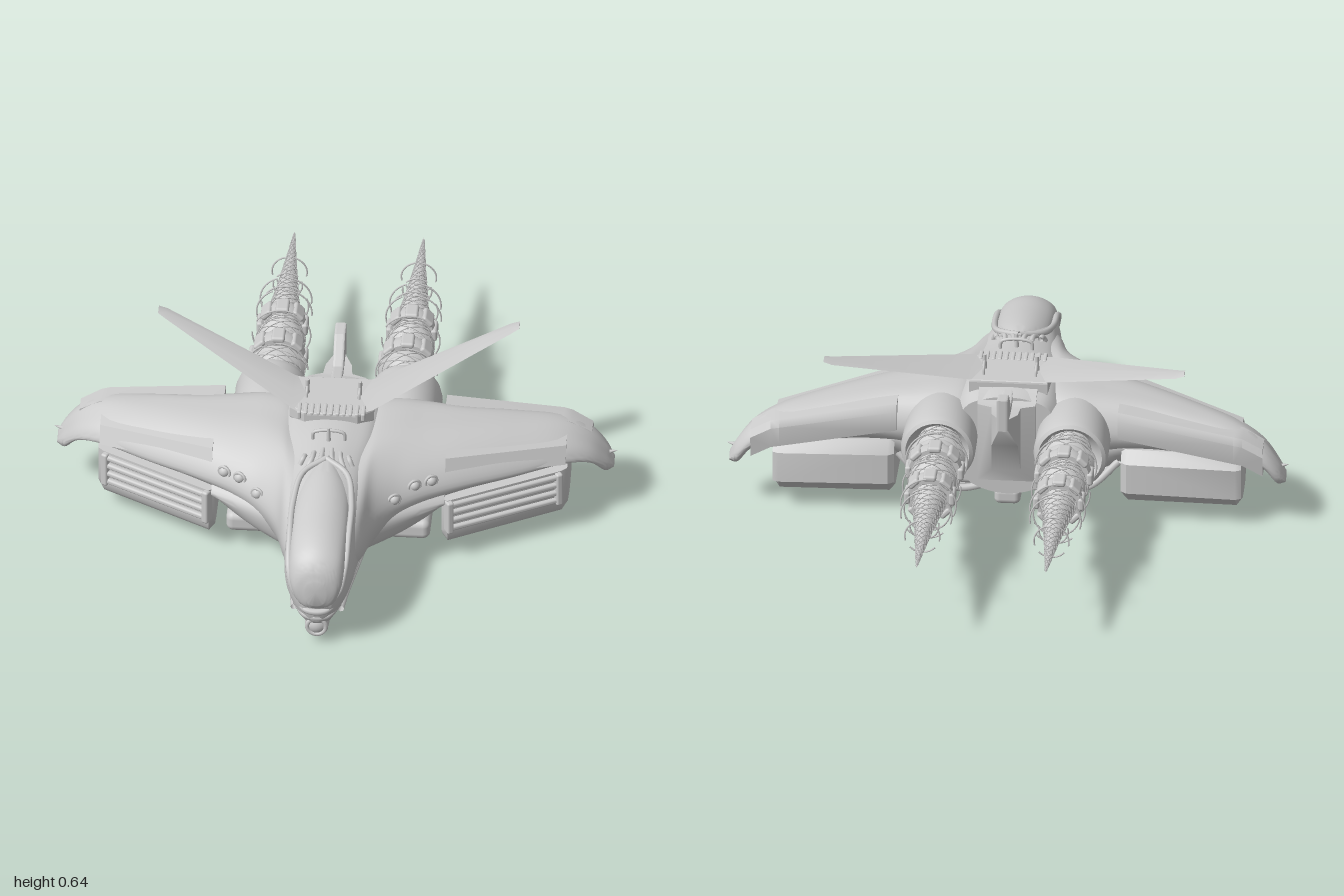
import * as THREE from 'three';
import { toCreasedNormals } from 'three/addons/utils/BufferGeometryUtils.js';
import { RoundedBoxGeometry } from 'three/addons/geometries/RoundedBoxGeometry.js';

const grey = new THREE.MeshStandardMaterial({ color: 0xcccccc, side: THREE.DoubleSide });
const V = (x, y, z) => new THREE.Vector3(x, y, z);

// Skin through cross-sections; smooth = [points per ring, points along], or null for straight edges
function loft(sections, smooth, crease = 0.7) {
  let rings = sections;
  if (smooth) {
    const [n, m] = smooth;
    rings = rings.map(r => new THREE.CatmullRomCurve3(r, true).getPoints(n).slice(0, n));
    const rails = rings[0].map((_, i) => new THREE.CatmullRomCurve3(rings.map(r => r[i])).getPoints(m));
    rings = rails[0].map((_, j) => rails.map(r => r[j]));
  }
  const n = rings[0].length, last = rings.length - 1, pts = rings.flat(), idx = [];
  for (let j = 0; j < last; j++) for (let i = 0; i < n; i++) {
    const a = j * n + i, b = j * n + (i + 1) % n;
    idx.push(a, b, a + n, b, b + n, a + n);
  }
  [0, last].forEach(j => {
    const c = pts.length;
    pts.push(rings[j].reduce((s, p) => s.add(p), V(0, 0, 0)).divideScalar(n));
    for (let i = 0; i < n; i++) {
      const a = j * n + i, b = j * n + (i + 1) % n;
      idx.push(...(j ? [a, b, c] : [b, a, c]));
    }
  });
  // Keep faces pointing outwards whichever way the sections run
  const mid = pts.reduce((s, p) => s.add(p), V(0, 0, 0)).divideScalar(pts.length);
  const at = k => pts[idx[k]].clone().sub(mid);
  let volume = 0;
  for (let k = 0; k < idx.length; k += 3) volume += at(k).dot(at(k + 1).cross(at(k + 2)));
  if (volume < 0) idx.reverse();
  const g = new THREE.BufferGeometry().setFromPoints(pts);
  g.setIndex(idx);
  return toCreasedNormals(g, crease);
}

const tube = (pts, r, n = 32, sides = 8) =>
  new THREE.TubeGeometry(new THREE.CatmullRomCurve3(pts.map(p => V(...p))), n, r, sides);

// Lathe running backwards along -z; profile is [radius, distance]
const latheBack = (profile, sides = 40) => toCreasedNormals(new THREE.LatheGeometry(
  profile.map(p => new THREE.Vector2(...p)), sides).rotateX(-Math.PI / 2), 0.6);

// Fuselage ring from half profile: top, shoulder, side, lower, bottom
const hullRing = ([z, top, sx, sy, mx, my, lx, ly, bot]) => {
  const half = [[sx * 0.55, top - (top - sy) * 0.25], [sx, sy], [mx, my], [lx, ly]];
  return [V(0, top, z), ...half.map(p => V(p[0], p[1], z)), V(0, bot, z),
    ...half.reverse().map(p => V(-p[0], p[1], z))];
};

export function createModel() {
  const model = new THREE.Group();
  const add = (name, geo, x = 0, y = 0, z = 0, parent = model) => {
    const m = new THREE.Mesh(geo, grey);
    m.name = name;
    m.position.set(x, y, z);
    parent.add(m);
    return m;
  };

  // Fuselage with narrow muzzle
  add('fuselage', loft([
    [0.965, 0.30, 0.05, 0.27, 0.055, 0.19, 0.03, 0.12, 0.10],
    [0.94, 0.33, 0.08, 0.29, 0.085, 0.19, 0.04, 0.09, 0.06],
    [0.89, 0.375, 0.09, 0.33, 0.108, 0.20, 0.05, 0.07, 0.015],
    [0.75, 0.415, 0.105, 0.36, 0.125, 0.20, 0.07, 0.06, 0.003],
    [0.60, 0.44, 0.12, 0.39, 0.15, 0.22, 0.09, 0.07, 0.018],
    [0.45, 0.455, 0.13, 0.41, 0.18, 0.25, 0.13, 0.10, 0.055],
    [0.30, 0.47, 0.15, 0.43, 0.22, 0.27, 0.15, 0.12, 0.07],
    [0.10, 0.475, 0.15, 0.44, 0.22, 0.28, 0.15, 0.12, 0.07],
    [0.02, 0.46, 0.14, 0.42, 0.19, 0.30, 0.14, 0.14, 0.09]].map(hullRing), [48, 50], 1));
  // Head dome overhanging the muzzle
  add('canopy', loft([
    [1.0, 0.285, 0.025, 0.275, 0.035, 0.24, 0.025, 0.20, 0.19],
    [0.985, 0.33, 0.06, 0.30, 0.075, 0.25, 0.05, 0.185, 0.17],
    [0.95, 0.372, 0.08, 0.335, 0.095, 0.27, 0.065, 0.19, 0.17],
    [0.88, 0.406, 0.088, 0.365, 0.10, 0.30, 0.07, 0.21, 0.18],
    [0.75, 0.432, 0.09, 0.39, 0.10, 0.34, 0.07, 0.25, 0.22],
    [0.60, 0.452, 0.08, 0.41, 0.09, 0.36, 0.07, 0.28, 0.25],
    [0.50, 0.455, 0.03, 0.44, 0.04, 0.40, 0.03, 0.35, 0.33]].map(hullRing), [40, 36], 1));
  add('chinSensor', new THREE.SphereGeometry(0.042, 24, 16), 0, 0.07, 0.92);
  add('chinRing', new THREE.TorusGeometry(0.032, 0.008, 8, 24), 0, 0.07, 0.95);
  [0.115, 0.145].forEach((y, i) => add('muzzleRidge', tube(
    [[-0.075, y + 0.03, 0.91], [-0.035, y, 0.95 + i * 0.01], [0.035, y, 0.95 + i * 0.01], [0.075, y + 0.03, 0.91]], 0.012)));

  // Dorsal plate, ribs, fin and small masts
  const plate = new THREE.Shape([[-0.13, -0.08], [0.13, -0.08], [0.14, -0.25], [0.09, -0.29], [-0.09, -0.29], [-0.14, -0.25]]
    .map(p => new THREE.Vector2(...p)));
  add('dorsalPlate', new THREE.ExtrudeGeometry(plate, { depth: 0.035, bevelSize: 0.005, bevelThickness: 0.008, bevelSegments: 2 })
    .rotateX(-Math.PI / 2), 0, 0.45, 0);
  for (let i = -5; i <= 5; i++) add('dorsalRib', new RoundedBoxGeometry(0.014, 0.03, 0.06, 2, 0.005), i * 0.022, 0.482, 0.265);
  const fin = new THREE.Shape([[-0.1, 0.4], [-0.1, 0.47], [0.04, 0.452], [0.115, 0.535], [0.17, 0.54], [0.17, 0.43], [0.08, 0.4]]
    .map(p => new THREE.Vector2(...p)));
  add('tailFin', new THREE.ExtrudeGeometry(fin, { depth: 0.022, bevelSize: 0.004, bevelThickness: 0.008 })
    .rotateY(Math.PI / 2), -0.011, 0, 0);
  add('tailBoom', loft([[0.08, 0.10, 0.47, 0.12], [0.0, 0.1, 0.44, 0.15], [-0.02, 0.05, 0.44, 0.2], [-0.07, 0.045, 0.44, 0.32], [-0.13, 0.015, 0.45, 0.41]]
    .map(([z, w, t, b]) => [V(w, t, z), V(w, b, z), V(-w, b, z), V(-w, t, z)])));
  add('dorsalHandle', tube([[-0.055, 0.45, 0.39], [-0.05, 0.485, 0.39], [0.05, 0.485, 0.39], [0.055, 0.45, 0.39]], 0.006));
  add('antenna', new THREE.CylinderGeometry(0.005, 0.009, 0.06, 10), 0, 0.48, 0.4);
  // Belly keel
  add('bellyKeel', new RoundedBoxGeometry(0.09, 0.06, 0.36, 3, 0.02), 0, 0.075, 0.2);
  add('bellyCrossbar', new RoundedBoxGeometry(0.36, 0.05, 0.09, 3, 0.02), 0, 0.115, 0.12);

  for (const s of [1, -1]) {
    const side = new THREE.Group();
    side.name = s > 0 ? 'leftSide' : 'rightSide';
    model.add(side);
    const put = (name, geo, x = 0, y = 0, z = 0) => add(name, geo, x * s, y, z, side);
    const path = pts => pts.map(([x, y, z]) => [x * s, y, z]);

    // Main wing: x, leading z, leading y, trailing z, trailing y, top, bottom
    put('wing', loft([
      [0.07, 0.88, 0.28, 0.02, 0.30, 0.42, 0.14],
      [0.125, 0.78, 0.26, 0.02, 0.31, 0.43, 0.14],
      [0.165, 0.64, 0.26, 0.02, 0.32, 0.44, 0.14],
      [0.23, 0.545, 0.27, 0.02, 0.32, 0.44, 0.16],
      [0.32, 0.475, 0.28, 0.03, 0.31, 0.43, 0.20],
      [0.45, 0.40, 0.28, 0.04, 0.30, 0.415, 0.23],
      [0.62, 0.31, 0.275, 0.02, 0.30, 0.39, 0.24],
      [0.80, 0.21, 0.27, -0.005, 0.29, 0.352, 0.245],
      [0.88, 0.16, 0.245, -0.005, 0.25, 0.305, 0.215],
      [0.93, 0.12, 0.20, 0.005, 0.20, 0.245, 0.16],
      [0.955, 0.09, 0.18, 0.025, 0.18, 0.20, 0.16]].map(([x, zl, yl, zt, yt, top, bot]) => {
      const p = (t, y) => V(x * s, y, zl + (zt - zl) * t);
      return [p(0, yl), p(0.1, yl + (top - yl) * 0.5), p(0.36, top - 0.012), p(0.62, top), p(0.88, top - 0.015),
        p(1, yt), p(0.85, bot + 0.01), p(0.5, bot), p(0.15, bot + 0.01)];
    }), [45, 50]));
    put('wingRearSpar', loft([[0.38, 0.11, 0.02, 0.41], [0.78, 0.08, -0.018, 0.352], [0.81, 0.08, -0.015, 0.345], [0.88, 0.075, -0.01, 0.305]]
      .map(([x, zf, zb, y]) => [V(x * s, y + 0.005, zf), V(x * s, y, zb + 0.015), V(x * s, y - 0.025, zb),
        V(x * s, y - 0.1, zb + 0.01), V(x * s, y - 0.1, zf)])));
    put('leadingSlat', loft([[0.40, 0.36, 0.385], [0.80, 0.175, 0.33]]
      .map(([x, z, y]) => [V(x * s, y + 0.012, z - 0.06), V(x * s, y, z + 0.015), V(x * s, y - 0.06, z + 0.045), V(x * s, y - 0.06, z - 0.06)])));
    put('tipClaw', new THREE.ConeGeometry(0.012, 0.05, 12).rotateZ(-s * 1.3), 0.945, 0.22, 0.06);
    // Leading edge lights
    [[0.235, 0.31, 0.52], [0.30, 0.33, 0.46], [0.355, 0.33, 0.428]].forEach(p => {
      put('lightLens', new THREE.SphereGeometry(0.02, 16, 12), ...p);
      put('lightRim', new THREE.TorusGeometry(0.022, 0.005, 8, 20).rotateY(s * 0.5), p[0], p[1], p[2] + 0.007);
    });

    // Underwing pod with rounded belly and louvred intake
    put('underwingPod', loft([[0.39, 0.42, 0.03, 0.07], [0.41, 0.435, 0.015, 0.052], [0.785, 0.23, 0.0, 0.055], [0.805, 0.21, 0.01, 0.08]]
      .map(([x, zf, zb, b]) => [V(x * s, 0.25, zf), V(x * s, 0.12, zf), V(x * s, b + 0.035, zf - 0.008), V(x * s, b + 0.012, zf - 0.03),
        V(x * s, b, zf - 0.09), V(x * s, b, zb + 0.07), V(x * s, 0.11, zb), V(x * s, 0.22, zb), V(x * s, 0.26, zb + 0.04)]), null, 0.6));
    for (let i = 0; i < 4; i++) {
      put('intakeSlat', new RoundedBoxGeometry(0.40, 0.02, 0.03, 3, 0.008).rotateY(s * 0.5), 0.595, 0.135 + i * 0.032, 0.332);
    }
    [0.415, 0.775].forEach(x => put('intakeFrame', new RoundedBoxGeometry(0.025, 0.13, 0.04, 3, 0.008)
      .rotateY(s * 0.5), x, 0.183, 0.332 - (x - 0.595) * 0.545));
    // Rounded fairing between pod and hull
    put('podFairing', loft([[0.12, 0.60, 0.10], [0.24, 0.535, 0.13], [0.33, 0.485, 0.165], [0.40, 0.445, 0.2]]
      .map(([x, z, b]) => [V(x * s, 0.29, z - 0.08), V(x * s, 0.24, z), V(x * s, b + 0.03, z - 0.02), V(x * s, b, z - 0.08),
        V(x * s, b, 0.1), V(x * s, 0.27, 0.06)]), [36, 14], 1));

    // Lift thruster in its housing, belly bulges and pipes
    put('thrusterHousing', new RoundedBoxGeometry(0.21, 0.075, 0.25, 4, 0.025), 0.245, 0.115, 0.31);
    put('liftThruster', toCreasedNormals(new THREE.LatheGeometry([[0.001, 0.074], [0.035, 0.074], [0.05, 0.068], [0.07, 0.064],
      [0.088, 0.07], [0.092, 0.09]].map(p => new THREE.Vector2(...p)), 36), 0.6), 0.245, 0, 0.32);
    put('thrusterRing', new THREE.TorusGeometry(0.055, 0.01, 8, 32).rotateX(Math.PI / 2), 0.245, 0.07, 0.32);
    put('bellyBulge', new THREE.SphereGeometry(0.05, 20, 14), 0.1, 0.11, 0.22);
    put('bellyBulge', new THREE.SphereGeometry(0.04, 20, 14), 0.085, 0.1, 0.36);
    [0, 0.04].forEach(d => put('bellyPipe', tube(path(
      [[0.06, 0.1, 0.12 - d], [0.16, 0.085, 0.1 - d], [0.28, 0.11, 0.1 - d], [0.38, 0.2, 0.12 - d]]), 0.013)));

    // Canopy rim and cheek folds
    put('canopyRim', tube(path([[0.03, 0.175, 0.975], [0.078, 0.23, 0.965], [0.096, 0.30, 0.935], [0.101, 0.365, 0.83],
      [0.1, 0.40, 0.68], [0.075, 0.435, 0.56], [0, 0.455, 0.5]]), 0.011));
    [0, 1].forEach(i => put('cheekFold', tube(path([[0.08, 0.17 - i * 0.05, 0.91], [0.1 - i * 0.01, 0.17 - i * 0.05, 0.82],
      [0.118 - i * 0.005, 0.17 - i * 0.035, 0.7], [0.14, 0.18 - i * 0.03, 0.55]]), 0.012)));
    [0, 1, 2].forEach(i => put('neckFold', tube(path([[0.015 + i * 0.03, 0.45, 0.44 + i * 0.02],
      [0.02 + i * 0.03, 0.45, 0.5], [0.04 + i * 0.025, 0.43, 0.55 - i * 0.02]]), 0.009)));
    put('mast', new THREE.CylinderGeometry(0.006, 0.009, 0.06, 10), 0.09, 0.515, 0.17);
    put('mastRail', tube(path([[0.09, 0.49, 0.12], [0.09, 0.515, 0.13], [0.09, 0.515, 0.19], [0.09, 0.49, 0.2]]), 0.005));

    // Raised tail blade
    put('tailBlade', loft([[0.08, 0.485, 0.28, 0.09], [0.14, 0.495, 0.265, 0.075], [0.59, 0.622, -0.04, -0.105], [0.62, 0.632, -0.06, -0.105]]
      .map(([x, y, zf, zb]) => [V(x * s, y, zf), V(x * s, y + 0.006, (zf + zb) / 2), V(x * s, y, zb), V(x * s, y - 0.006, (zf + zb) / 2)])));

    // Engine nacelle
    put('engineNacelle', latheBack([[0.1, -0.2], [0.125, -0.12], [0.128, 0.08], [0.122, 0.105], [0.11, 0.112], [0.1, 0.1], [0.07, 0.06], [0.001, 0.06]]), 0.228, 0.305, 0);

    // Long tapering tail spike: ridged core
    const spike = new THREE.Group();
    spike.name = 'tailSpike';
    spike.position.set(0.222 * s, 0.32, 0);
    side.add(spike);
    const keys = [[0.08, 0.078], [0.12, 0.078], [0.17, 0.085], [0.2, 0.1], [0.23, 0.075], [0.31, 0.075], [0.37, 0.085],
      [0.42, 0.068], [0.5, 0.058], [0.53, 0.056], [0.6, 0.045], [0.77, 0.025], [1.0, 0.001]];
    const radius = d => {
      const k = Math.max(1, keys.findIndex(q => q[0] >= d));
      const [a, b] = [keys[k - 1], keys[k]];
      return a[1] + (b[1] - a[1]) * (d - a[0]) / (b[0] - a[0]);
    };
    const ridges = [...Array(111)].map((_, i) => {
      const d = 0.08 + 0.92 * i / 110;
      return [radius(d) * (i % 2 ? 0.92 : 1), d];
    });
    add('spikeCore', latheBack(ridges, 20), 0, 0, 0, spike);
    // Crossing coils wound round the core
    for (let i = 0; i < 14; i++) {
      const coil = [...Array(90)].map((_, j) => {
        const t = j / 89, d = 0.09 + 0.9 * t, a = (i % 2 ? 1 : -1) * t * 28 + i * 0.45;
        return [Math.cos(a) * radius(d) * 1.01, Math.sin(a) * radius(d) * 1.01, -d];
      });
      add('spikeCoil', tube(coil, 0.002, 240, 3), 0, 0, 0, spike);
    }
    // Segmented collars
    [[0.27, 0.09, 0.055], [0.46, 0.077, 0.055]].forEach(([d, r, w]) => {
      add('collar', latheBack([[r - 0.02, -w / 2], [r, -w / 2], [r + 0.006, 0], [r, w / 2], [r - 0.02, w / 2]], 32), 0, 0, -d, spike);
      for (let k = 0; k < 8; k++) {
        const a = k * Math.PI / 4;
        add('collarBlock', new RoundedBoxGeometry(0.022, 0.046, w * 1.25, 2, 0.009).rotateZ(a), Math.cos(a) * r, Math.sin(a) * r, -d, spike);
      }
    });
    // Thin broken hoops
    [[0.2, 0.105], [0.4, 0.1], [0.53, 0.095], [0.57, 0.08], [0.61, 0.088], [0.69, 0.05], [0.77, 0.06]].forEach(([d, r], i) => {
      for (let k = 0; k < 3; k++) {
        add('hoopArc', new THREE.TorusGeometry(r, 0.003, 5, 14, 1.6).rotateZ(k * 2.09 + i), 0, 0, -d, spike);
      }
    });
  }
  return model;
}
